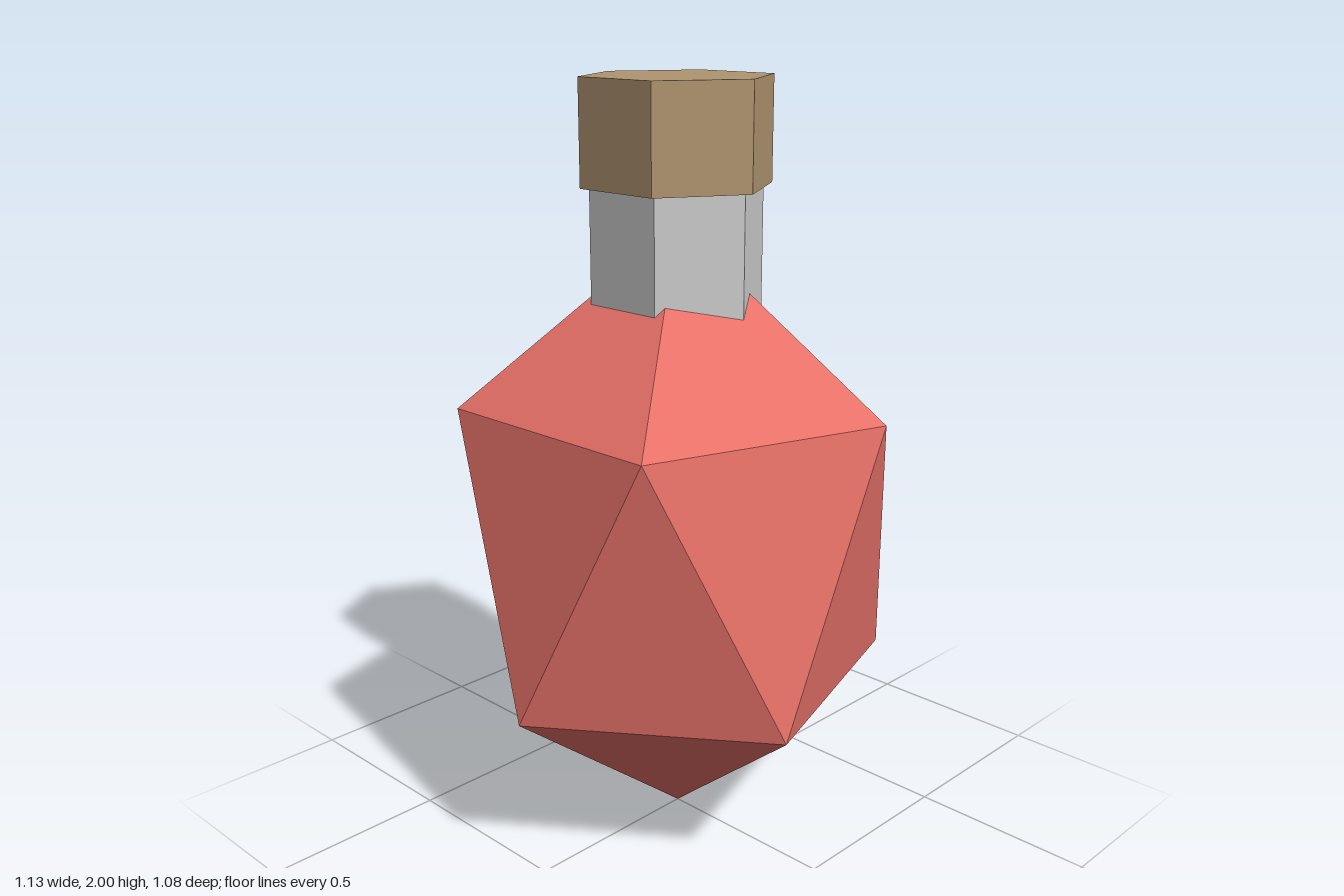
import * as THREE from 'three';

const material = (color) => new THREE.MeshStandardMaterial({ color, flatShading: true });

// Stretched icosahedron: two staggered five-sided rings between two tips
function bodyGeometry() {
  const radius = 0.567;
  const point = (angle, y) => [radius * Math.cos(angle), y, radius * Math.sin(angle)];
  const top = [0, 1.64, 0], bottom = [0, 0, 0];
  const step = (Math.PI * 2) / 5;
  const upper = (i) => point(step * (i % 5), 1.187);
  const lower = (i) => point(step * ((i % 5) + 0.5), 0.453);
  const corners = [];
  for (let i = 0; i < 5; i++) {
    corners.push(top, upper(i + 1), upper(i));
    corners.push(upper(i), upper(i + 1), lower(i));
    corners.push(lower(i), upper(i + 1), lower(i + 1));
    corners.push(lower(i), lower(i + 1), bottom);
  }
  const geometry = new THREE.BufferGeometry();
  geometry.setAttribute('position', new THREE.Float32BufferAttribute(corners.flat(), 3));
  geometry.computeVertexNormals();
  return geometry;
}

// Upright hexagonal prism with corners on the z axis
function hexPrism(name, radius, y0, y1, color) {
  const geometry = new THREE.CylinderGeometry(radius, radius, y1 - y0, 6);
  const mesh = new THREE.Mesh(geometry, material(color));
  mesh.position.y = (y0 + y1) / 2;
  mesh.name = name;
  return mesh;
}

export function createModel() {
  const model = new THREE.Group();
  model.name = 'potionBottle';

  const body = new THREE.Mesh(bodyGeometry(), material(0xe77169));
  body.name = 'body';

  // The neck runs down into the body, the stopper sits on top of it
  const neck = hexPrism('neck', 0.225, 1.38, 1.74, 0xcccccc);
  const stopper = hexPrism('stopper', 0.248, 1.735, 2, 0xb0946f);

  model.add(body, neck, stopper);
  return model;
}
